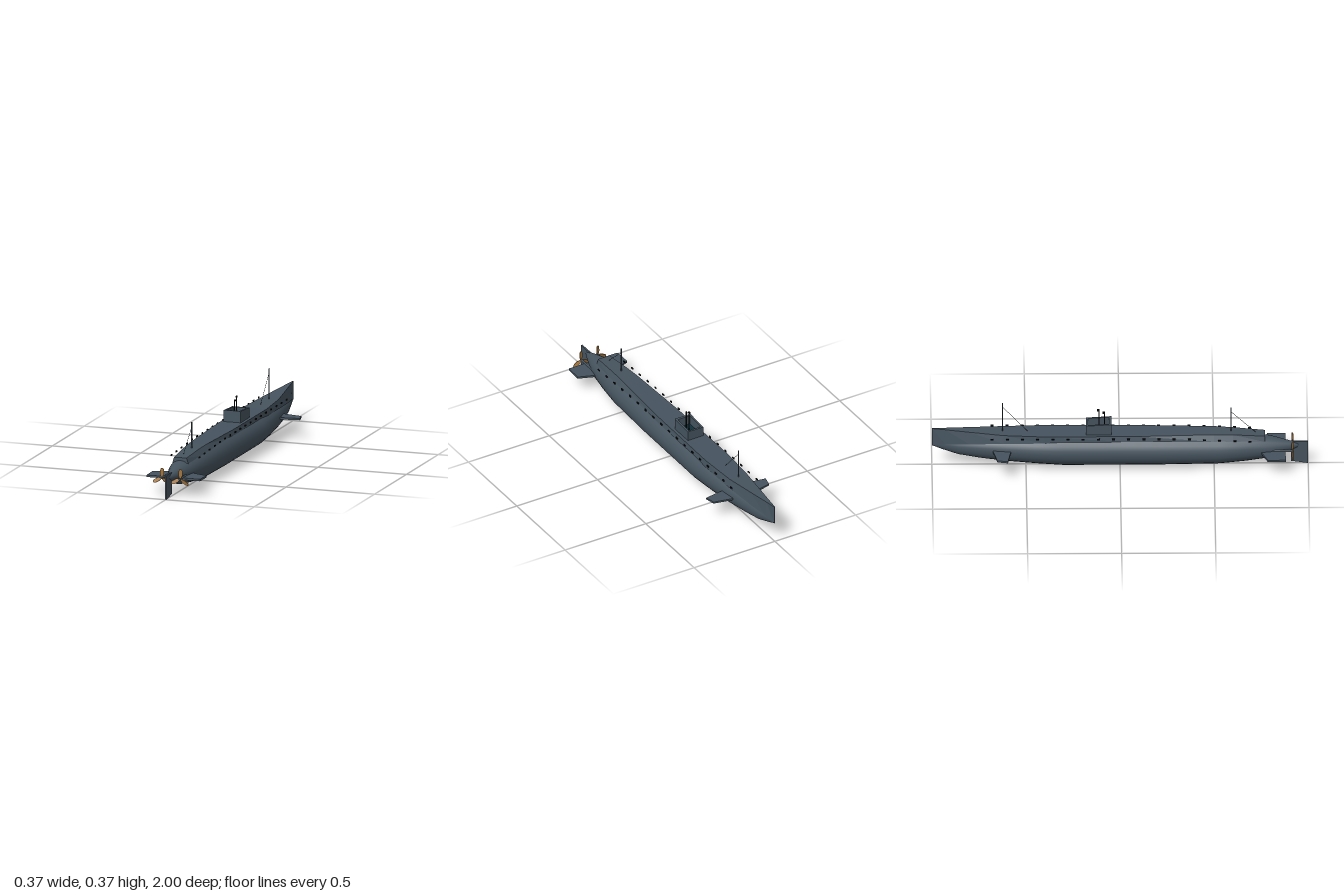
import * as THREE from 'three';

const mat = (name, color, side = THREE.FrontSide) => {
  const m = new THREE.MeshStandardMaterial({ color, side });
  m.name = name;
  return m;
};

export function createModel() {
  const slate = mat('slate grey', 0x46545f);
  const black = mat('black', 0x0d0f12);
  const teal = mat('dark teal', 0x10303a);
  const bronze = mat('bronze', 0xa87a42);

  const model = new THREE.Group();
  model.name = 'submarine';
  const add = (name, geometry, material, parent = model) => {
    const mesh = new THREE.Mesh(geometry, material);
    mesh.name = name;
    parent.add(mesh);
    return mesh;
  };

  // Skin over rings ordered stern to bow, each anticlockwise seen from the stern
  const loft = (rings) => {
    const n = rings[0].length, index = [];
    for (let i = 0; i < rings.length - 1; i++) {
      for (let j = 0; j < n; j++) {
        const a = i * n + j, b = i * n + (j + 1) % n;
        index.push(a, a + n, b, b, a + n, b + n);
      }
    }
    const last = (rings.length - 1) * n;
    for (let j = 1; j < n - 1; j++) {
      index.push(0, j, j + 1, last, last + j + 1, last + j);
    }
    const g = new THREE.BufferGeometry();
    g.setAttribute('position', new THREE.Float32BufferAttribute(rings.flat(2), 3));
    g.setIndex(index);
    g.computeVertexNormals();
    return g;
  };

  // Flat plate lying in x and z, centred on height y
  const plate = (points, thickness, y) => {
    const shape = new THREE.Shape(points.map(([x, z]) => new THREE.Vector2(x, -z)));
    return new THREE.ExtrudeGeometry(shape, { depth: thickness, bevelEnabled: false })
      .rotateX(-Math.PI / 2).translate(0, y - thickness / 2, 0);
  };

  // Round rod between two points
  const rod = (from, to, radius, sides = 8) => {
    const a = new THREE.Vector3(...from), b = new THREE.Vector3(...to);
    const dir = b.clone().sub(a);
    const g = new THREE.CylinderGeometry(radius, radius, dir.length(), sides);
    g.applyQuaternion(new THREE.Quaternion().setFromUnitVectors(
      new THREE.Vector3(0, 1, 0), dir.normalize()));
    const c = a.add(b).multiplyScalar(0.5);
    return g.translate(c.x, c.y, c.z);
  };

  // Pressure hull: z, half width, bottom, top
  const hull = [
    [0.955, 0.003, 0.103, 0.115], [0.92, 0.018, 0.085, 0.128], [0.8, 0.058, 0.042, 0.16],
    [0.67, 0.079, 0.025, 0.178], [0.53, 0.093, 0.012, 0.188], [0.2, 0.101, 0.008, 0.194],
    [-0.3, 0.102, 0.008, 0.194], [-0.45, 0.093, 0.018, 0.19], [-0.62, 0.073, 0.031, 0.18],
    [-0.75, 0.053, 0.046, 0.168], [-0.86, 0.033, 0.064, 0.155], [-0.95, 0.013, 0.095, 0.145],
    [-0.998, 0.002, 0.115, 0.135],
  ];
  add('hull', loft(hull.map(([z, w, low, high]) =>
    Array.from({ length: 24 }, (_, j) => {
      const t = j / 24 * Math.PI * 2;
      return [w * Math.cos(t), (low + high) / 2 + (high - low) / 2 * Math.sin(t), z];
    }))), slate);

  // Deck casing: z, half width and height of its top, half width and height of its foot
  const casing = [
    [0.77, 0.035, 0.18, 0.045, 0.15], [0.6, 0.043, 0.193, 0.06, 0.16],
    [0.5, 0.048, 0.197, 0.066, 0.163], [0.1, 0.064, 0.197, 0.072, 0.163],
    [-0.4, 0.067, 0.198, 0.072, 0.16], [-0.62, 0.053, 0.2, 0.063, 0.155],
    [-0.8, 0.029, 0.208, 0.04, 0.14], [-0.93, 0.011, 0.214, 0.018, 0.13],
    [-1, 0.002, 0.217, 0.002, 0.115],
  ];
  const casingGeometry = loft(casing.map(([z, top, yTop, foot, yFoot]) =>
    [[foot, yFoot, z], [top, yTop, z], [-top, yTop, z], [-foot, yFoot, z]])).toNonIndexed();
  casingGeometry.computeVertexNormals();
  add('deckCasing', casingGeometry, slate);

  // Open conning tower with a rim that falls towards the bow
  const tower = new THREE.Shape([[-0.048, 0.045], [0.048, 0.045], [0.048, 0.18], [-0.048, 0.18]]
    .map((p) => new THREE.Vector2(...p)));
  tower.holes.push(new THREE.Path([[-0.037, 0.058], [-0.037, 0.17], [0.037, 0.17], [0.037, 0.058]]
    .map((p) => new THREE.Vector2(...p))));
  const towerGeometry = new THREE.ExtrudeGeometry(tower, { depth: 0.06, bevelEnabled: false })
    .rotateX(-Math.PI / 2).translate(0, 0.19, 0);
  const p = towerGeometry.attributes.position;
  for (let i = 0; i < p.count; i++) {
    if (p.getY(i) > 0.22) p.setY(i, 0.26 + 0.06 * (p.getZ(i) + 0.045));
  }
  towerGeometry.computeVertexNormals();
  add('conningTower', towerGeometry, slate);
  add('towerFloor', new THREE.BoxGeometry(0.078, 0.008, 0.116).translate(0, 0.204, -0.114), teal);

  // Periscopes
  for (const [z, top] of [[-0.083, 0.307], [-0.112, 0.322]]) {
    add('periscope', rod([0, 0.2, z], [0, top, z], 0.003), black);
    add('periscopeHead', new THREE.BoxGeometry(0.007, 0.009, 0.012).translate(0, top, z - 0.003), black);
  }

  // Masts and their stays
  add('sternMast', rod([0, 0.18, 0.59], [0, 0.335, 0.59], 0.003), slate);
  add('bowMast', rod([0, 0.19, -0.625], [0, 0.366, -0.625], 0.003), slate);
  add('sternStay', rod([0, 0.31, 0.59], [0, 0.187, 0.72], 0.001, 5), black);
  add('bowStay', rod([0, 0.345, -0.625], [0, 0.197, -0.49], 0.001, 5), black);

  // Row of vents along each side
  for (const side of [-1, 1]) {
    for (let i = 0; i < 18; i++) {
      const t = i / 17;
      const y = 0.17 + 0.015 * Math.min(1, t * 4) + 0.004 * t;
      add('vent', new THREE.BoxGeometry(0.005, 0.008, 0.016)
        .translate(side * 0.079, y, 0.69 - 1.37 * t), black);
    }
  }

  // Blade outline shared by both propellers
  const blade = new THREE.Shape([[-0.004, 0.004], [0.004, 0.004], [0.011, 0.02], [0.009, 0.046],
    [0.004, 0.054], [-0.006, 0.054], [-0.01, 0.042], [-0.01, 0.02]]
    .map((q) => new THREE.Vector2(...q)));

  for (const side of [-1, 1]) {
    // Diving planes
    add('sternPlane', plate([[0.02, 0.75], [0.06, 0.75], [0.153, 0.785], [0.151, 0.88], [0.02, 0.88]]
      .map(([x, z]) => [side * x, z]), 0.011, 0.092), slate);
    add('bowPlane', plate([[0.03, -0.68], [0.07, -0.675], [0.172, -0.653], [0.184, -0.597], [0.07, -0.58], [0.03, -0.58]]
      .map(([x, z]) => [side * x, z]), 0.01, 0.108), slate);

    // Shaft and three-bladed propeller
    add('propellerShaft', rod([side * 0.05, 0.098, 0.74], [side * 0.05, 0.098, 0.925], 0.006), slate);
    const propeller = new THREE.Group();
    propeller.name = 'propeller';
    propeller.position.set(side * 0.052, 0.098, 0.917);
    for (let k = 0; k < 3; k++) {
      const g = new THREE.ExtrudeGeometry(blade, { depth: 0.004, bevelEnabled: false })
        .translate(0, 0, -0.002).rotateY(0.35).rotateZ(-0.05 + k * Math.PI * 2 / 3);
      add('propellerBlade', g, bronze, propeller);
    }
    model.add(propeller);
  }

  // Rudder
  const rudder = new THREE.Shape([[0.91, 0.014], [1, 0], [1, 0.13], [0.91, 0.132]]
    .map((q) => new THREE.Vector2(...q)));
  add('rudder', new THREE.ExtrudeGeometry(rudder, { depth: 0.009, bevelEnabled: false })
    .rotateY(-Math.PI / 2).translate(0.0045, 0, 0), slate);

  return model;
}
